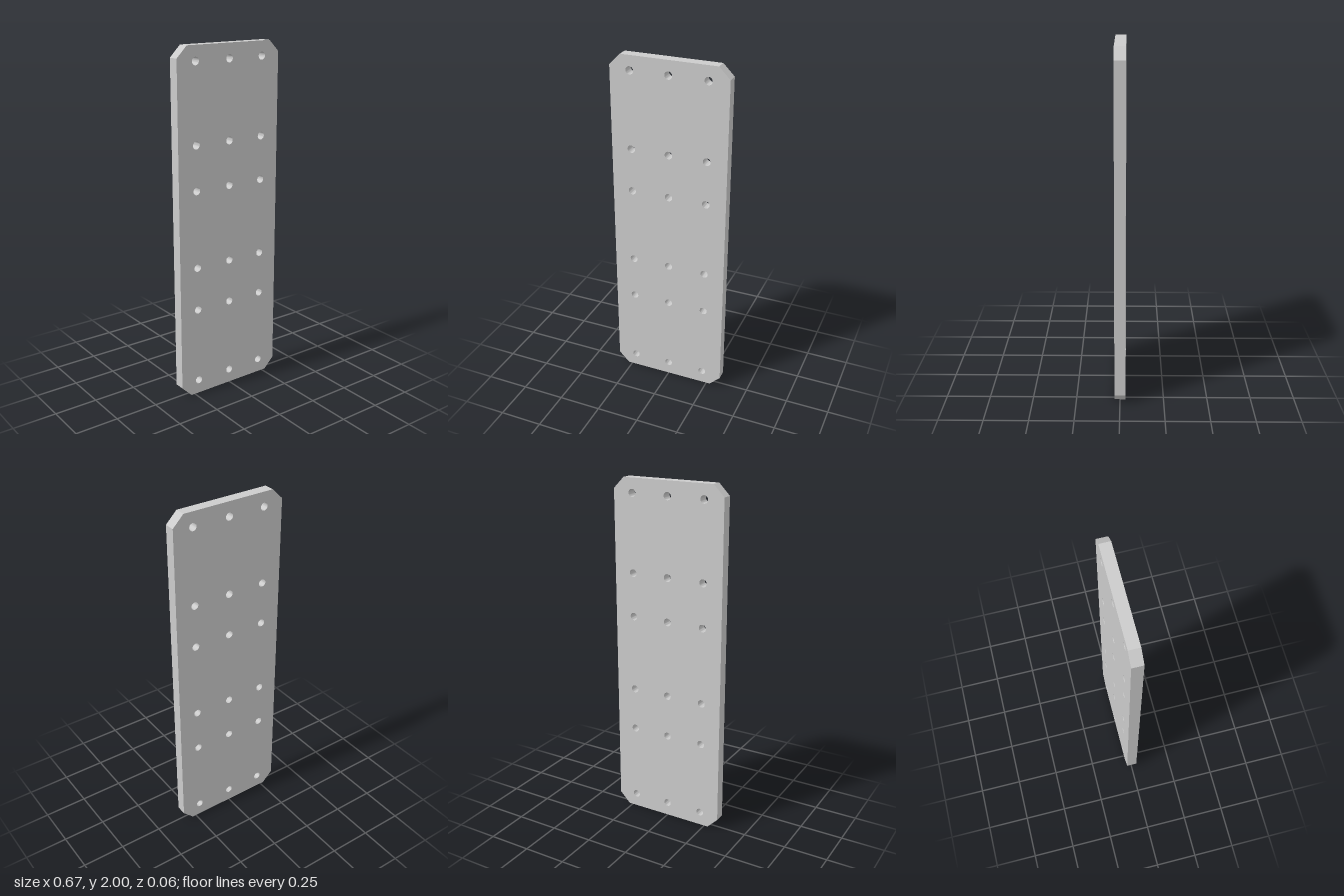
import * as THREE from 'three';
import { toCreasedNormals } from 'three/addons/utils/BufferGeometryUtils.js';

const HALF_WIDTH = 0.336;
const HEIGHT = 2;
const THICKNESS = 0.062;
const CHAMFER = 0.063;
const HOLE_RADIUS = 0.022;
const HOLE_COLUMNS = [-0.22, 0, 0.22];
const HOLE_ROWS = [0.082, 0.525, 0.778, 1.222, 1.475, 1.918];

// Rectangle with four cut corners
function plateOutline() {
  const w = HALF_WIDTH, h = HEIGHT, c = CHAMFER;
  return new THREE.Shape([
    [-w + c, 0], [w - c, 0], [w, c], [w, h - c],
    [w - c, h], [-w + c, h], [-w, h - c], [-w, c],
  ].map(([x, y]) => new THREE.Vector2(x, y)));
}

export function createModel() {
  const group = new THREE.Group();
  group.name = 'mountingPlate';

  // Grid of round through holes
  const shape = plateOutline();
  for (const y of HOLE_ROWS) {
    for (const x of HOLE_COLUMNS) {
      shape.holes.push(new THREE.Path().absarc(x, y, HOLE_RADIUS, 0, Math.PI * 2, true));
    }
  }

  // Flat plate, with smooth hole walls and sharp edges
  const geometry = new THREE.ExtrudeGeometry(shape, {
    depth: THICKNESS, bevelEnabled: false, curveSegments: 16,
  });
  geometry.translate(0, 0, -THICKNESS / 2);
  const plate = new THREE.Mesh(
    toCreasedNormals(geometry, Math.PI / 6),
    new THREE.MeshStandardMaterial({ color: 0xcccccc }),
  );
  plate.name = 'drilledPlate';
  group.add(plate);
  return group;
}
